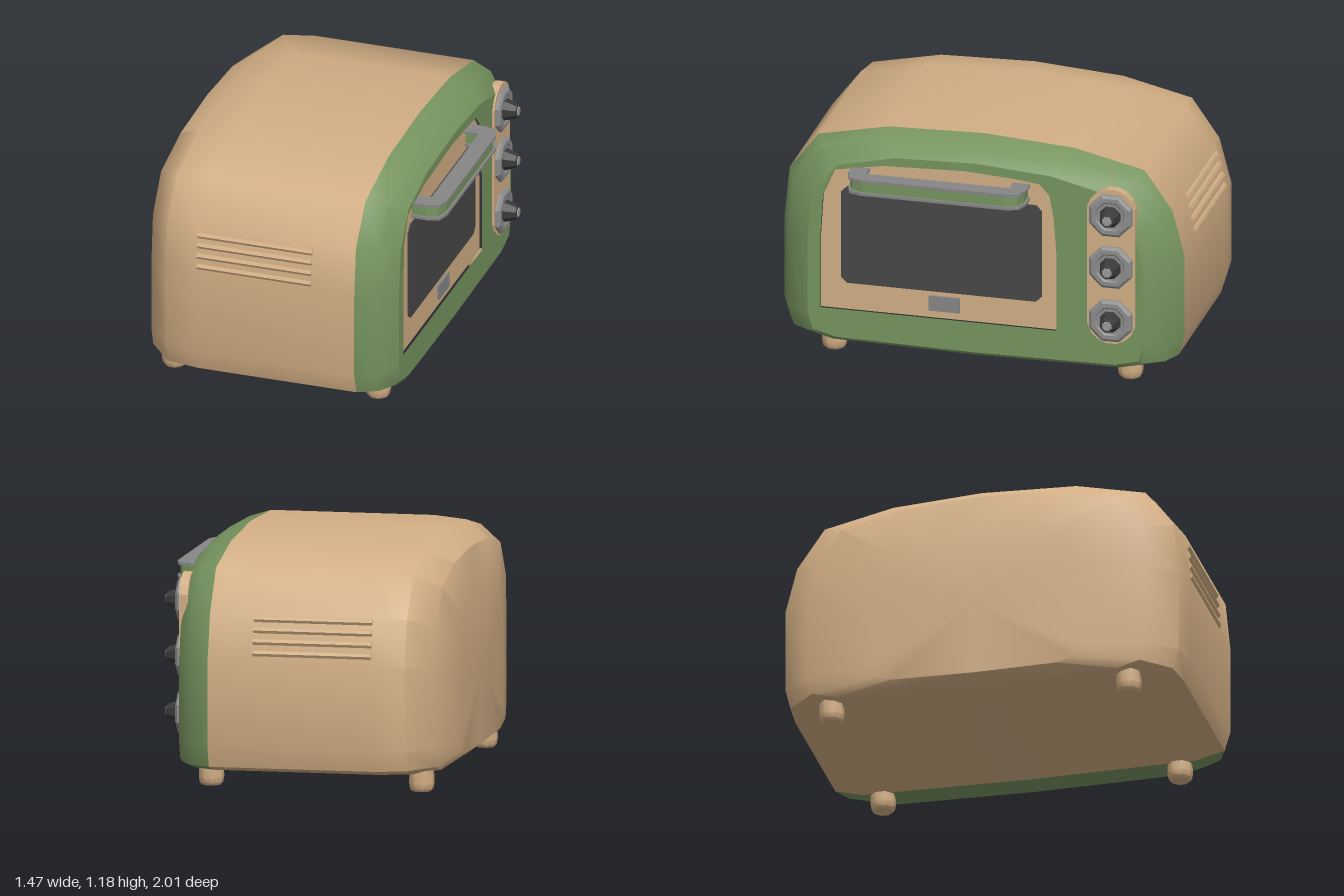
import * as THREE from 'three';
import { toCreasedNormals } from 'three/addons/utils/BufferGeometryUtils.js';

const TAN = 0xd2ae84, GREEN = 0x76945f, GREY = 0x868686, DARK = 0x484848;

// Body outline as [z, y], from the +z side over the top and back underneath
const OUTLINE = [
  [1, 0.22], [1, 0.65], [0.975, 0.9], [0.83, 1.09], [0.48, 1.165], [0, 1.18], [-0.45, 1.15],
  [-0.8, 1.07], [-0.94, 0.87], [-1, 0.64], [-1, 0.22], [-0.97, 0.12], [-0.83, 0.085],
  [0, 0.075], [0.83, 0.085], [0.97, 0.12],
];

// Outline scaled in z and refitted between a bottom and a top height
const section = ([, s, top, bottom]) =>
  OUTLINE.map(([z, y]) => [z * s, bottom + ((y - 0.075) / 1.105) * (top - bottom)]);

function mesh(name, geometry, color) {
  const m = new THREE.Mesh(geometry, new THREE.MeshStandardMaterial({ color }));
  m.name = name;
  return m;
}

// Skin over rings of [x, zScale, top, bottom]; optional cap at the first ring
function loft(rings, capStart) {
  const n = OUTLINE.length, pos = [], idx = [];
  rings.forEach((r) => section(r).forEach(([z, y]) => pos.push(r[0], y, z)));
  for (let i = 0; i < rings.length - 1; i++) {
    for (let j = 0; j < n; j++) {
      const a = i * n + j, b = i * n + ((j + 1) % n), c = a + n, d = b + n;
      idx.push(a, c, b, b, c, d);
    }
  }
  if (capStart) {
    const centre = pos.length / 3;
    pos.push(rings[0][0] - 0.003, 0.5, 0);
    for (let j = 0; j < n; j++) idx.push(centre, j, (j + 1) % n);
  }
  const g = new THREE.BufferGeometry();
  g.setAttribute('position', new THREE.Float32BufferAttribute(pos, 3));
  g.setIndex(idx);
  return toCreasedNormals(g, 0.75);
}

// Flat plate with [z, y] corners, running from x0 to x1
function plate(points, x0, x1, hole) {
  const flip = (list) => list.map(([z, y]) => new THREE.Vector2(-z, y));
  const shape = new THREE.Shape(flip(points));
  if (hole) shape.holes.push(new THREE.Path(flip(hole)));
  return new THREE.ExtrudeGeometry(shape, { depth: x1 - x0, bevelEnabled: false })
    .rotateY(Math.PI / 2).translate(x0, 0, 0);
}

// Rectangle with cut corners
const chamfered = (z0, z1, y0, y1, c) => [
  [z0 + c, y0], [z1 - c, y0], [z1, y0 + c], [z1, y1 - c],
  [z1 - c, y1], [z0 + c, y1], [z0, y1 - c], [z0, y0 + c],
];

// U-shaped handle layer seen from above, drawn in by i
function handleLayer(i, y0, y1) {
  const pts = [
    [0.57, -0.27 + i], [0.65, -0.27 + i], [0.71 - i, -0.25 + i], [0.73 - i, -0.19 + i],
    [0.73 - i, 0.54 - i], [0.71 - i, 0.6 - i], [0.65, 0.62 - i], [0.57, 0.62 - i],
    [0.57, 0.53 + i], [0.645 + i, 0.53 + i], [0.645 + i, -0.185 - i], [0.57, -0.185 - i],
  ];
  const shape = new THREE.Shape(pts.map(([x, z]) => new THREE.Vector2(x, -z)));
  return new THREE.ExtrudeGeometry(shape, { depth: y1 - y0, bevelEnabled: false })
    .rotateX(-Math.PI / 2).translate(0, y0, 0);
}

function makeKnob(y) {
  const knob = new THREE.Group();
  knob.name = 'knob';
  const turned = (name, profile, color) => {
    const g = new THREE.LatheGeometry(profile.map(([r, h]) => new THREE.Vector2(r, h)), 8, Math.PI / 8);
    knob.add(mesh(name, toCreasedNormals(g.rotateZ(-Math.PI / 2), 0.5), color));
  };
  turned('knobDial', [[0.115, 0], [0.115, 0.018], [0.1, 0.03], [0.078, 0.03], [0.07, 0.024], [0, 0.024]], 0x8c8c8c);
  turned('knobGrip', [[0.056, 0.02], [0.05, 0.045], [0.034, 0.086], [0.026, 0.09], [0, 0.09]], 0x3a3a3a);
  turned('knobTip', [[0.027, 0.088], [0.022, 0.094], [0, 0.094]], 0x999999);
  knob.position.set(0.588, y, -0.68);
  return knob;
}

export function createModel() {
  const model = new THREE.Group();
  model.name = 'toasterOven';
  const add = (name, geometry, color) => model.add(mesh(name, geometry, color));

  // Rounded shell and front frame
  add('shell', loft([
    [-0.733, 0.5, 0.88, 0.13], [-0.68, 0.84, 1.09, 0.09], [-0.56, 0.98, 1.165, 0.08],
    [-0.4, 1, 1.18, 0.075], [0.41, 1, 1.18, 0.075],
  ], true), TAN);
  const rim = [0.585, 0.84, 1.09, 0.1];
  add('frontFrame', loft([
    [0.41, 1, 1.18, 0.075], [0.51, 0.955, 1.15, 0.078], [0.57, 0.865, 1.105, 0.083], rim,
  ], false), GREEN);

  // Front face with the door opening
  const door = [
    [0.775, 0.257], [0.775, 0.65], [0.762, 0.85], [0.705, 0.985], [0.6, 1.005], [0.46, 1.03],
    [0.05, 1.045], [-0.2, 1.03], [-0.32, 1.015], [-0.37, 0.96], [-0.39, 0.85], [-0.405, 0.65], [-0.405, 0.257],
  ];
  add('frontFace', plate(section(rim), 0.54, 0.585, door), GREEN);
  add('door', plate(door, 0.53, 0.572), TAN);
  add('window', plate(chamfered(-0.33, 0.675, 0.395, 0.9, 0.03), 0.56, 0.578), DARK);
  add('doorLatch', plate(chamfered(0.08, 0.235, 0.295, 0.372, 0.002), 0.56, 0.584), GREY);

  // Door handle: two grey plates around a green core
  const handle = new THREE.Group();
  handle.name = 'doorHandle';
  handle.add(mesh('handleTop', handleLayer(0, 0.992, 1.006), GREY));
  handle.add(mesh('handleCore', handleLayer(0.012, 0.938, 0.992), GREEN));
  handle.add(mesh('handleBottom', handleLayer(0, 0.924, 0.938), GREY));
  model.add(handle);

  // Rounded control strip with three knobs
  const strip = [];
  for (let i = 0; i < 16; i++) {
    const a = ((i + 0.5) / 16) * Math.PI * 2;
    strip.push([-0.68 + 0.122 * Math.cos(a), (i < 8 ? 0.908 : 0.342) + 0.122 * Math.sin(a)]);
  }
  add('controlPanel', plate(strip, 0.55, 0.594), TAN);
  [0.895, 0.625, 0.345].forEach((y) => model.add(makeKnob(y)));

  // Side vent louvres, following the slope of each side: [y, left z, right z]
  [[0.847, 0.981, -0.95], [0.795, 0.987, -0.965], [0.74, 0.991, -0.979], [0.685, 0.995, -0.988]].forEach(([y, zl, zr]) => {
    [zl, zr].forEach((z) => {
      const g = new THREE.CylinderGeometry(0.016, 0.016, 0.585, 6, 1).rotateZ(Math.PI / 2);
      const louvre = mesh('ventLouvre', toCreasedNormals(g, 0.5), TAN);
      louvre.position.set(-0.103, y, z - Math.sign(z) * 0.003);
      model.add(louvre);
    });
  });

  // Feet
  const footProfile = [[0, 0], [0.046, 0], [0.058, 0.012], [0.063, 0.04], [0.06, 0.11]];
  for (const x of [-0.595, 0.445]) {
    for (const z of [-0.74, 0.74]) {
      const g = new THREE.LatheGeometry(footProfile.map(([r, h]) => new THREE.Vector2(r, h)), 8, Math.PI / 8);
      const foot = mesh('foot', toCreasedNormals(g, 0.8), TAN);
      foot.position.set(x, 0, z);
      model.add(foot);
    }
  }
  return model;
}
